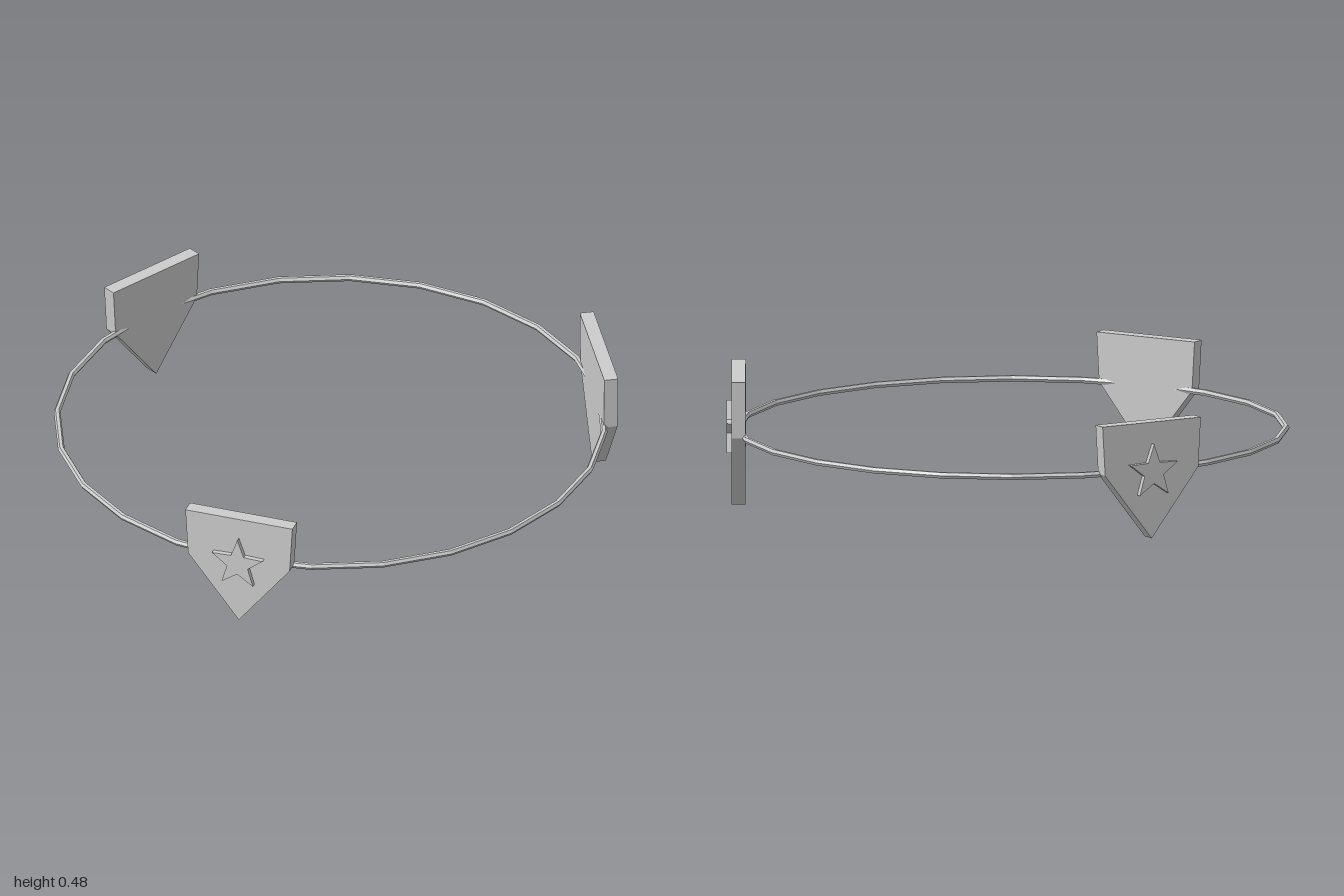
import * as THREE from 'three';

const RING_Y = 0.28, RING_R = 0.973;

function outline(points) {
  return new THREE.Shape(points.map(([x, y]) => new THREE.Vector2(x, y)));
}

export function createModel() {
  const model = new THREE.Group();
  model.name = 'shieldRing';
  const grey = new THREE.MeshStandardMaterial({ color: 0xcccccc, flatShading: true });
  grey.name = 'light grey';

  // Thin faceted hoop
  const ringGeo = new THREE.TorusGeometry(RING_R, 0.012, 6, 24).rotateX(Math.PI / 2);
  const ring = new THREE.Mesh(ringGeo, grey);
  ring.name = 'ring';
  ring.position.y = RING_Y;
  model.add(ring);

  // Pointed shield plate, centred on the hoop line
  const plateGeo = new THREE.ExtrudeGeometry(
    outline([[-0.231, 0.204], [-0.219, 0], [0, -0.278], [0.219, 0], [0.231, 0.204]]),
    { depth: 0.05, bevelEnabled: false });
  plateGeo.translate(0, 0, -0.025);

  // Raised five-pointed star
  const starPoints = [];
  for (let i = 0; i < 10; i++) {
    const a = Math.PI / 2 + i * Math.PI / 5, r = i % 2 ? 0.041 : 0.1;
    starPoints.push([r * Math.cos(a), r * Math.sin(a)]);
  }
  const starGeo = new THREE.ExtrudeGeometry(outline(starPoints), { depth: 0.022, bevelEnabled: false });
  starGeo.translate(0, 0, 0.021);

  // Three shields facing outward; the one on +x is larger
  const shields = [
    ['leftShield', Math.PI / 2, 1],
    ['frontShield', -Math.PI / 6, 0.87],
    ['backShield', -Math.PI * 5 / 6, 0.87],
  ];
  for (const [name, angle, size] of shields) {
    const shield = new THREE.Group();
    shield.name = name;
    const plate = new THREE.Mesh(plateGeo, grey);
    plate.name = 'plate';
    plate.scale.set(size, size, 1);
    const star = new THREE.Mesh(starGeo, grey);
    star.name = 'star';
    shield.add(plate, star);
    shield.position.set(0.97 * Math.sin(angle), RING_Y, 0.97 * Math.cos(angle));
    shield.rotation.y = angle;
    model.add(shield);
  }

  // Centre the overall width, including the raised star on +x
  for (const part of model.children) part.position.x -= 0.014;
  return model;
}
